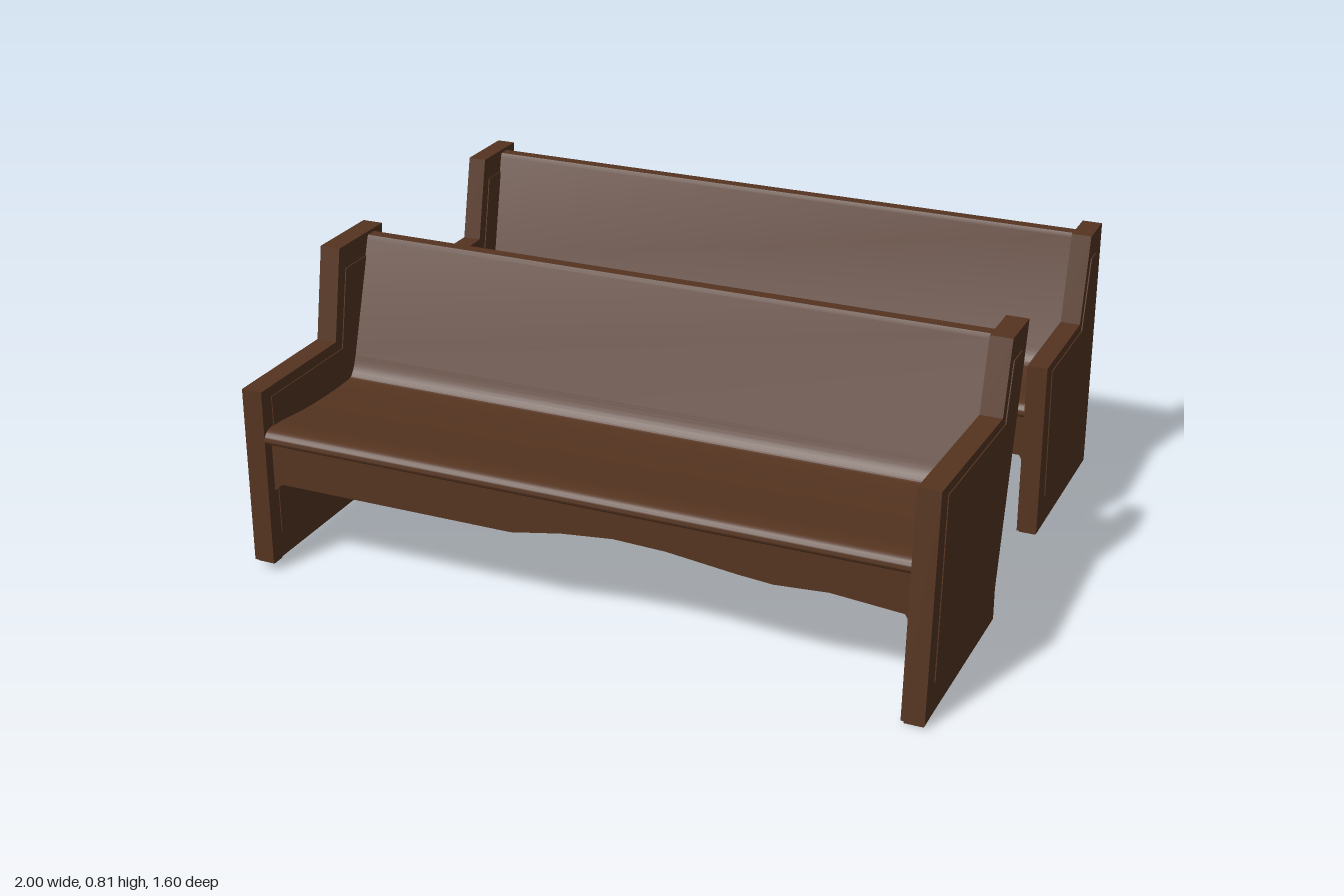
import * as THREE from 'three';
import { toCreasedNormals } from 'three/addons/utils/BufferGeometryUtils.js';

const wood = new THREE.MeshStandardMaterial({ color: 0x553420 });
wood.name = 'dark brown wood';

const vectors = (pts) => pts.map(([a, b]) => new THREE.Vector2(a, b));

// Extrudes a (z, y) outline sideways from x0 to x1
function sideExtrude(name, pts, x0, x1) {
  let geo = new THREE.ExtrudeGeometry(new THREE.Shape(vectors(pts)), { depth: x1 - x0, bevelEnabled: false });
  geo.rotateY(-Math.PI / 2);
  geo.translate(x1, 0, 0);
  geo = toCreasedNormals(geo, 0.6);
  const mesh = new THREE.Mesh(geo, wood);
  mesh.name = name;
  return mesh;
}

function box(name, x0, x1, y0, y1, z0, z1) {
  const mesh = new THREE.Mesh(new THREE.BoxGeometry(x1 - x0, y1 - y0, z1 - z0), wood);
  mesh.position.set((x0 + x1) / 2, (y0 + y1) / 2, (z0 + z1) / 2);
  mesh.name = name;
  return mesh;
}

// Stepped end panel with a slightly raised field on both faces
function endPanel(name, { outline, field, x }) {
  const [x0, x1] = x;
  const group = new THREE.Group();
  group.name = name;
  group.add(sideExtrude('panelBoard', outline, x0, x1));
  group.add(sideExtrude('panelField', field, x0 - 0.003, x1 + 0.003));
  // Two small feet below the board
  const base = Math.min(...outline.map((p) => p[1]));
  const low = outline.filter((p) => p[1] < base + 0.02).map((p) => p[0]);
  for (const z of [Math.min(...low) + 0.01, Math.max(...low) - 0.05]) {
    group.add(box('foot', x0 + 0.005, x1 - 0.005, base - 0.008, base + 0.01, z, z + 0.04));
  }
  return group;
}

function pew(name, s) {
  const group = new THREE.Group();
  group.name = name;
  const { front, joint, topFront, topBack, xl, xr } = s;

  // Dished seat that sweeps up into the sloping back
  const curve = new THREE.SplineCurve(vectors([
    [front - 0.025, 0.383], [front - 0.003, 0.39], [front, 0.408], [front - 0.02, 0.426], [front - 0.08, 0.428],
    [(front + joint) / 2, 0.412], [joint + 0.05, 0.41], [joint + 0.012, 0.425], [joint - 0.01, 0.47],
  ]));
  const sweep = curve.getPoints(40).map((p) => [p.x, p.y]);
  const heel = joint - 0.05;
  group.add(sideExtrude('seatAndBack', [
    ...sweep, [topFront, 0.79], [topFront - 0.006, 0.802], [topBack, 0.802], [heel, 0.47], [heel, 0.383],
  ], xl, xr));

  // Sloping rail behind the foot of the back
  const rear = topBack + 0.025;
  group.add(sideExtrude('rearRail', [
    [heel + 0.005, 0.465], [rear, 0.405], [rear, 0.33], [rear + 0.03, 0.33], [rear + 0.03, 0.385], [heel + 0.005, 0.385],
  ], xl, xr));

  // Front apron with an uneven lower edge
  const apron = new THREE.ExtrudeGeometry(new THREE.Shape(vectors([
    [xl, 0.385], [xl, 0.23], [xl + 0.03, 0.258], ...s.apronEdge, [xr - 0.03, 0.258], [xr, 0.21], [xr, 0.385],
  ])), { depth: 0.035, bevelEnabled: false });
  const apronMesh = new THREE.Mesh(apron, wood);
  apronMesh.position.z = front - 0.065;
  apronMesh.name = 'frontApron';
  group.add(apronMesh);

  group.add(endPanel('leftEndPanel', s.left), endPanel('rightEndPanel', s.right));
  return group;
}

export function createModel() {
  const model = new THREE.Group();
  model.name = 'pewPair';

  model.add(pew('frontPew', {
    front: 0.735, joint: 0.265, topFront: 0.15, topBack: 0.11, xl: -0.94, xr: 0.93,
    apronEdge: [[-0.2, 0.258], [-0.05, 0.285], [0.1, 0.3], [0.25, 0.295], [0.45, 0.272], [0.55, 0.264], [0.7, 0.274]],
    left: {
      outline: [[0.8, 0.012], [0.75, 0.635], [0.235, 0.61], [0.18, 0.812], [0.03, 0.812], [0.21, 0.1], [0.21, 0.008]],
      field: [[0.735, 0.1], [0.7, 0.605], [0.21, 0.585], [0.165, 0.745], [0.09, 0.745], [0.25, 0.1]],
      x: [0.93, 0.993],
    },
    right: {
      outline: [[0.74, 0.025], [0.735, 0.545], [0.35, 0.545], [0.3, 0.812], [0.065, 0.812], [0.07, 0.62], [0.07, 0.025]],
      field: [[0.69, 0.1], [0.69, 0.515], [0.32, 0.515], [0.275, 0.745], [0.12, 0.745], [0.12, 0.1]],
      x: [-0.996, -0.935],
    },
  }));

  model.add(pew('rearPew', {
    front: -0.265, joint: -0.595, topFront: -0.675, topBack: -0.715, xl: -0.94, xr: 0.935,
    apronEdge: [],
    left: {
      outline: [[-0.235, 0.05], [-0.235, 0.562], [-0.585, 0.562], [-0.645, 0.812], [-0.768, 0.812], [-0.768, 0.05]],
      field: [[-0.3, 0.14], [-0.285, 0.535], [-0.605, 0.535], [-0.66, 0.74], [-0.71, 0.74], [-0.71, 0.14]],
      x: [0.928, 0.985],
    },
    right: {
      outline: [[-0.225, 0.06], [-0.225, 0.565], [-0.515, 0.565], [-0.57, 0.812], [-0.765, 0.812], [-0.77, 0.6], [-0.8, 0.068]],
      field: [[-0.29, 0.14], [-0.29, 0.53], [-0.545, 0.53], [-0.59, 0.745], [-0.71, 0.745], [-0.73, 0.14]],
      x: [-0.99, -0.935],
    },
  }));

  return model;
}
